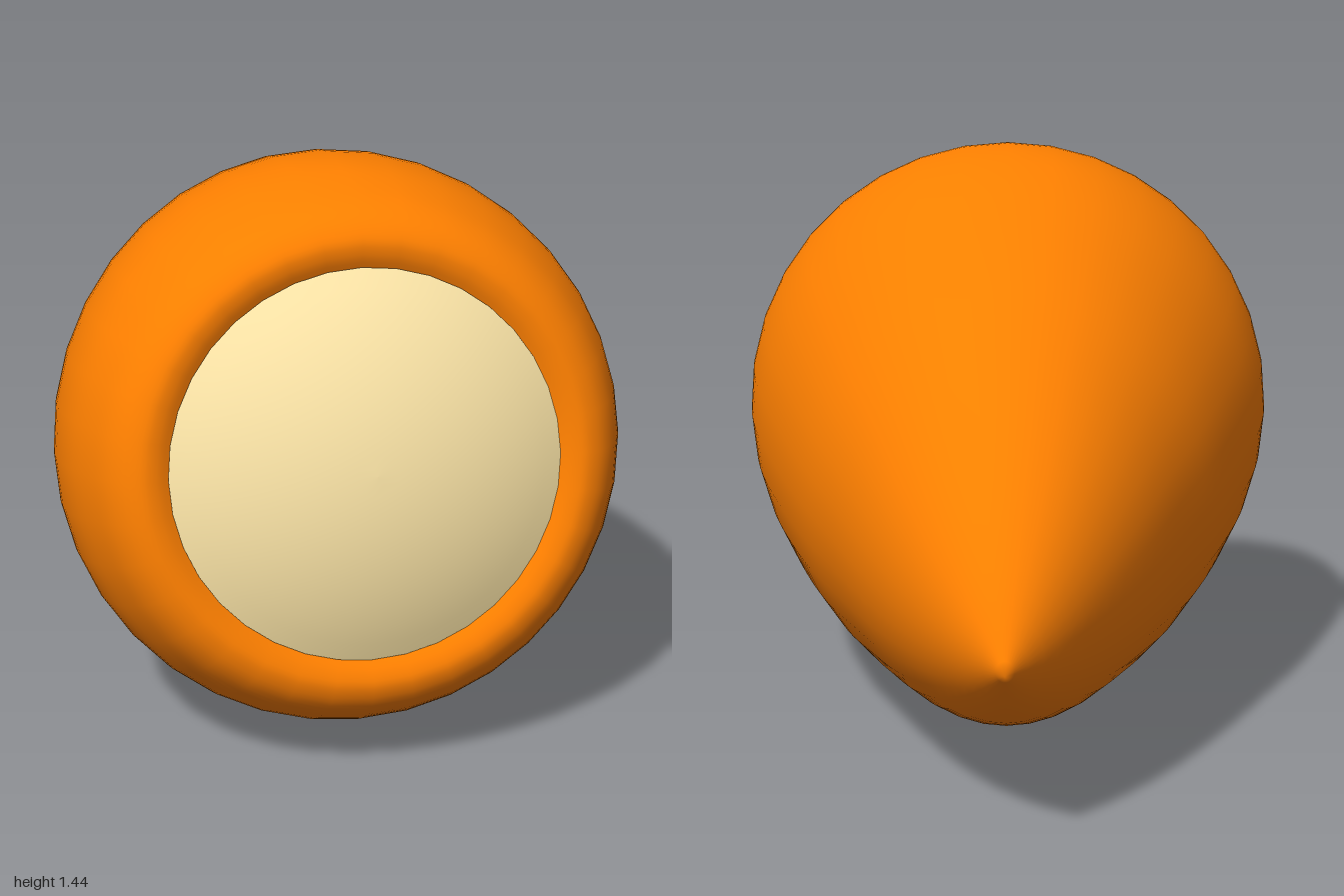
import * as THREE from 'three';
import { mergeVertices } from 'three/addons/utils/BufferGeometryUtils.js';

const TIP = new THREE.Vector3(0.81, 0.437, -0.995);
const AXIS = new THREE.Vector3(-0.566, 0.172, 0.806).normalize();
const SIDES = 36;

// Profiles are [radius, distance along the axis from the tip]
const toPoints = (list) => list.map(([r, t]) => new THREE.Vector2(r, t));

function addPart(parent, name, geometry, color) {
  const material = new THREE.MeshStandardMaterial({ color, side: THREE.DoubleSide });
  const mesh = new THREE.Mesh(geometry, material);
  mesh.name = name;
  parent.add(mesh);
}

// Tapered teardrop shell with a low front lip, taller than wide towards the tip
function housingGeometry() {
  const profile = new THREE.SplineCurve(toPoints([
    [0, 0], [0.119, 0.135], [0.235, 0.316], [0.348, 0.543], [0.452, 0.789], [0.542, 1.005],
    [0.625, 1.25], [0.684, 1.462], [0.709, 1.646], [0.695, 1.81], [0.646, 1.95],
    [0.6, 2.02], [0.55, 2.05], [0.51, 2.047], [0.477, 2.03],
  ])).getPoints(56);
  let geometry = new THREE.LatheGeometry(profile, SIDES);
  const pos = geometry.attributes.position;
  for (let i = 0; i < pos.count; i++) {
    const t = Math.min(pos.getY(i) / 1.9, 1);
    pos.setZ(i, pos.getZ(i) * (1.003 + 0.115 * (1 + Math.cos(Math.PI * t))));
  }
  // Weld the seam so the shading stays smooth all round
  geometry.deleteAttribute('uv');
  geometry.deleteAttribute('normal');
  geometry = mergeVertices(geometry, 1e-5);
  geometry.computeVertexNormals();
  return geometry;
}

// Shallow spherical dome seated inside the lip
function lensGeometry() {
  const rim = 0.48, height = 0.12, base = 2.035;
  const radius = (rim * rim + height * height) / (2 * height);
  const sweep = Math.asin(rim / radius);
  const dome = [];
  for (let i = 0; i <= 10; i++) {
    const a = sweep * (1 - i / 10);
    dome.push(new THREE.Vector2(radius * Math.sin(a), base + height - radius * (1 - Math.cos(a))));
  }
  return new THREE.LatheGeometry(dome, SIDES);
}

export function createModel() {
  const group = new THREE.Group();
  group.name = 'lamp';

  const head = new THREE.Group();
  head.name = 'lampHead';
  addPart(head, 'housing', housingGeometry(), 0xff8000);
  addPart(head, 'lens', lensGeometry(), 0xfde6a8);

  // Local y runs from tip to lens, local z points up
  const up = new THREE.Vector3(0, 1, 0).addScaledVector(AXIS, -AXIS.y).normalize();
  const side = new THREE.Vector3().crossVectors(AXIS, up);
  head.quaternion.setFromRotationMatrix(new THREE.Matrix4().makeBasis(side, AXIS, up));
  head.position.copy(TIP);
  group.add(head);
  return group;
}
